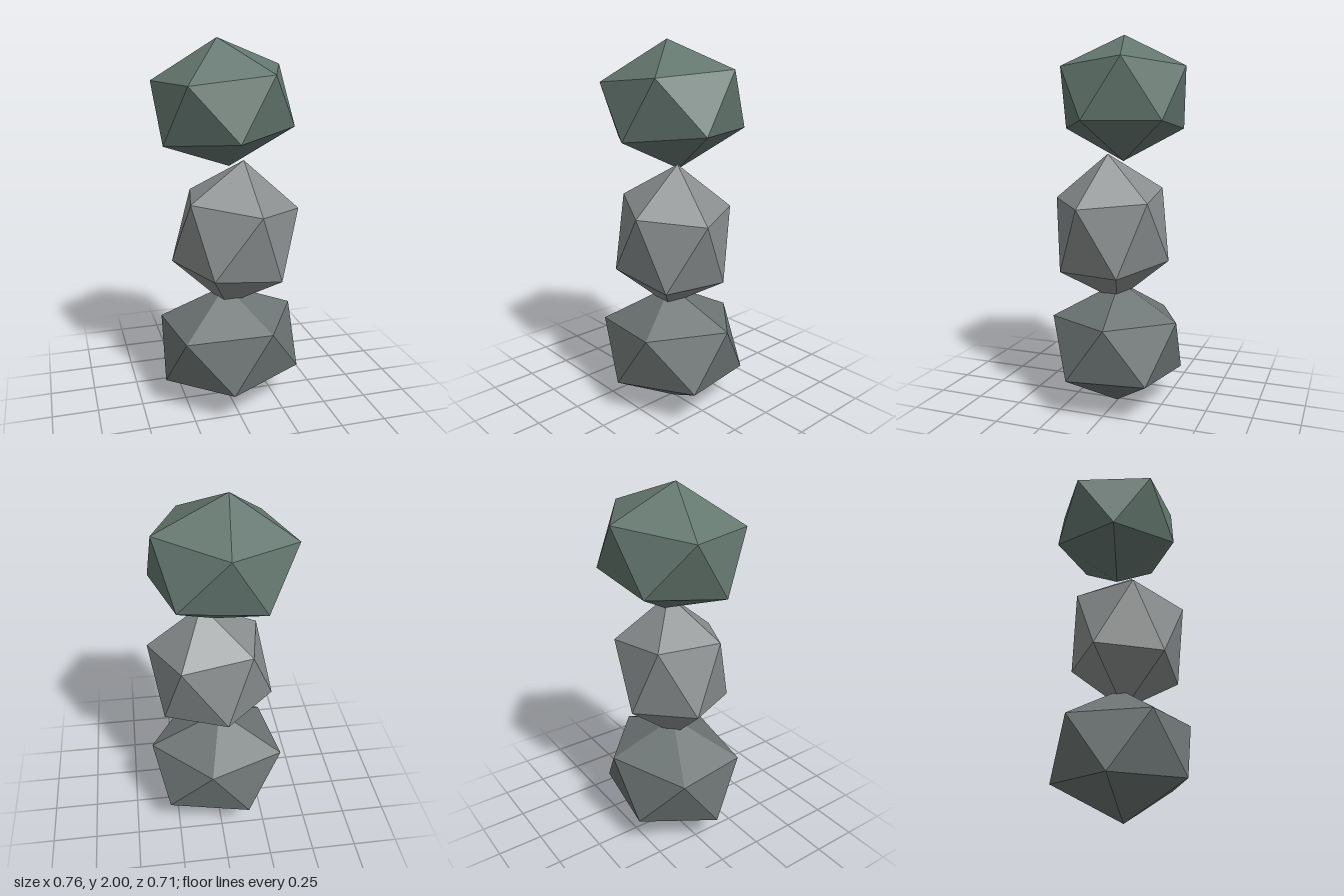
import * as THREE from 'three';

// Stretched, tilted icosahedron: an apex and a ring of five points (counterclockwise
// from above), the lower half being the same points reflected through the centre.
function stoneGeometry(centre, apexPoint, ringPoints) {
  const c = new THREE.Vector3(...centre);
  const toLocal = (p) => new THREE.Vector3(...p).sub(c);
  const apex = toLocal(apexPoint);
  const ring = ringPoints.map(toLocal);
  const opposite = (v) => v.clone().negate();

  const corners = [];
  const addFacePair = (a, b, d) => {
    corners.push(a, b, d, opposite(a), opposite(d), opposite(b));
  };
  for (let i = 0; i < 5; i++) {
    const here = ring[i];
    const next = ring[(i + 1) % 5];
    const below = opposite(ring[(i + 3) % 5]);
    addFacePair(apex, here, next); // cap and its opposite
    addFacePair(here, below, next); // belt and its opposite
  }
  const geometry = new THREE.BufferGeometry().setFromPoints(corners);
  geometry.computeVertexNormals();
  return geometry;
}

const STONES = [
  {
    name: 'bottomStone', color: 0x6c7473,
    centre: [0.004, 0.337, 0.004],
    apex: [-0.015, 0.674, 0.004],
    ring: [[0.38, 0.51, -0.05], [0.065, 0.495, -0.345], [-0.352, 0.463, -0.157],
      [-0.293, 0.463, 0.258], [0.158, 0.495, 0.326]],
  },
  {
    name: 'middleStone', color: 0x8a8e8e,
    centre: [0.032, 0.973, 0.027],
    apex: [0.077, 1.38, 0.035],
    ring: [[0.368, 1.115, 0.095], [0.209, 1.14, -0.227], [-0.166, 1.186, -0.195],
      [-0.236, 1.186, 0.148], [0.093, 1.14, 0.327]],
  },
  {
    name: 'topStone', color: 0x64776f,
    centre: [-0.02, 1.67, -0.02],
    apex: [-0.055, 2, -0.01],
    ring: [[0.318, 1.86, -0.123], [-0.02, 1.83, -0.358], [-0.38, 1.787, -0.12],
      [-0.265, 1.787, 0.264], [0.17, 1.83, 0.261]],
  },
];

export function createModel() {
  const model = new THREE.Group();
  model.name = 'stackedStones';
  for (const stone of STONES) {
    const material = new THREE.MeshStandardMaterial({ color: stone.color, flatShading: true });
    const mesh = new THREE.Mesh(stoneGeometry(stone.centre, stone.apex, stone.ring), material);
    mesh.name = stone.name;
    mesh.position.set(...stone.centre);
    model.add(mesh);
  }
  return model;
}
